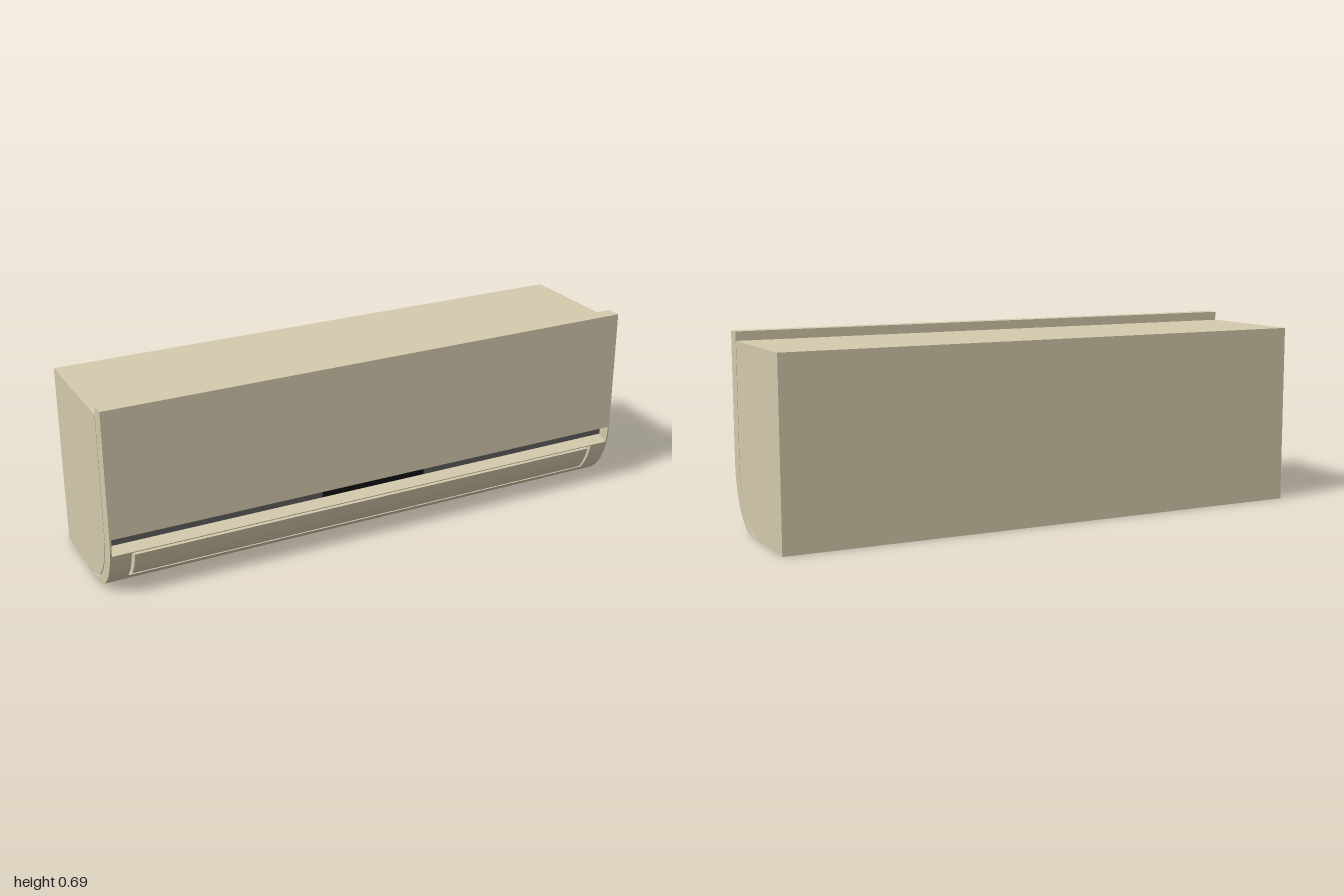
import * as THREE from 'three';
import { toCreasedNormals } from 'three/addons/utils/BufferGeometryUtils.js';

const shell = new THREE.MeshStandardMaterial({ color: 0xd4caad });
const grey = new THREE.MeshStandardMaterial({ color: 0x5c5c5c });
const black = new THREE.MeshStandardMaterial({ color: 0x101010 });

// Quarter-ellipse curves in the side plane: t = 0 is the front, PI/2 the bottom
const ellipse = (cz, cy, a, b) => (t) => [cz + a * Math.cos(t), cy - b * Math.sin(t)];
const outer = ellipse(0.08, 0.235, 0.173, 0.235);
const inner = ellipse(0.022, 0.23, 0.178, 0.228);
const bodyFront = ellipse(0.022, 0.23, 0.174, 0.222);

function arc(curve, t0, t1, n = 14) {
  return Array.from({ length: n + 1 }, (_, i) => curve(t0 + ((t1 - t0) * i) / n));
}

export function createModel() {
  const group = new THREE.Group();
  const bottom = Math.PI / 2;

  // Extrudes a [z, y] side profile from x0 to x1
  function profile(name, points, x0, x1, material = shell) {
    const shape = new THREE.Shape(points.map(([z, y]) => new THREE.Vector2(-z, y)));
    const geo = new THREE.ExtrudeGeometry(shape, { depth: x1 - x0, bevelEnabled: false });
    geo.rotateY(Math.PI / 2).translate(x0, 0, 0);
    const mesh = new THREE.Mesh(toCreasedNormals(geo, 0.5), material);
    mesh.name = name;
    group.add(mesh);
  }
  const rect = (z0, z1, y0, y1) => [[z0, y0], [z1, y0], [z1, y1], [z0, y1]];
  const band = (a, b, a0, a1, b0 = a0, b1 = a1) => [...arc(a, a0, a1), ...arc(b, b1, b0)];

  // Main housing with a curved lower front
  profile('housing', [
    [-0.253, 0], [0.022, 0], ...arc(bodyFront, bottom, 0, 20), [0.196, 0.66], [-0.253, 0.66],
  ], -1, 1);

  // Front panel and the thin cheeks closing the slot beneath it
  profile('frontPanel', rect(0.2, 0.253, 0.235, 0.692), -0.994, 0.994);
  const cheek = [[0.253, 0.692], ...band(outer, inner, 0, 0.28, 0, 0.176), [0.2, 0.692]];
  profile('rightCheek', cheek, -1, -0.994);
  profile('leftCheek', cheek, 0.994, 1);

  // Recessed strip with the display window
  profile('slotStrip', rect(0.199, 0.206, 0.188, 0.236), -0.994, 0.994, grey);
  profile('displayWindow', rect(0.2, 0.209, 0.19, 0.235), -0.205, 0.205, black);

  // Curved lower cover, split around the air outlet
  const top = 0.295, low = 0.875, openX = 0.925;
  profile('coverTop', band(outer, inner, 0.28, top, 0.176, top), -openX, openX);
  profile('coverBottom', [...arc(outer, low, bottom), [0.022, 0], ...arc(inner, bottom, low)], -openX, openX);
  const end = [...arc(outer, 0.28, bottom, 20), [0.022, 0], ...arc(inner, bottom, 0.176, 20)];
  profile('coverRightEnd', end, -1, -openX);
  profile('coverLeftEnd', end, openX, 1);

  // Air flap with a narrow gap all round, and the dark liner behind it
  profile('airFlap', band(outer, inner, 0.34, 0.83), -0.913, 0.913);
  profile('outletLiner', band(inner, bodyFront, top, low), -openX, openX, grey);

  return group;
}
